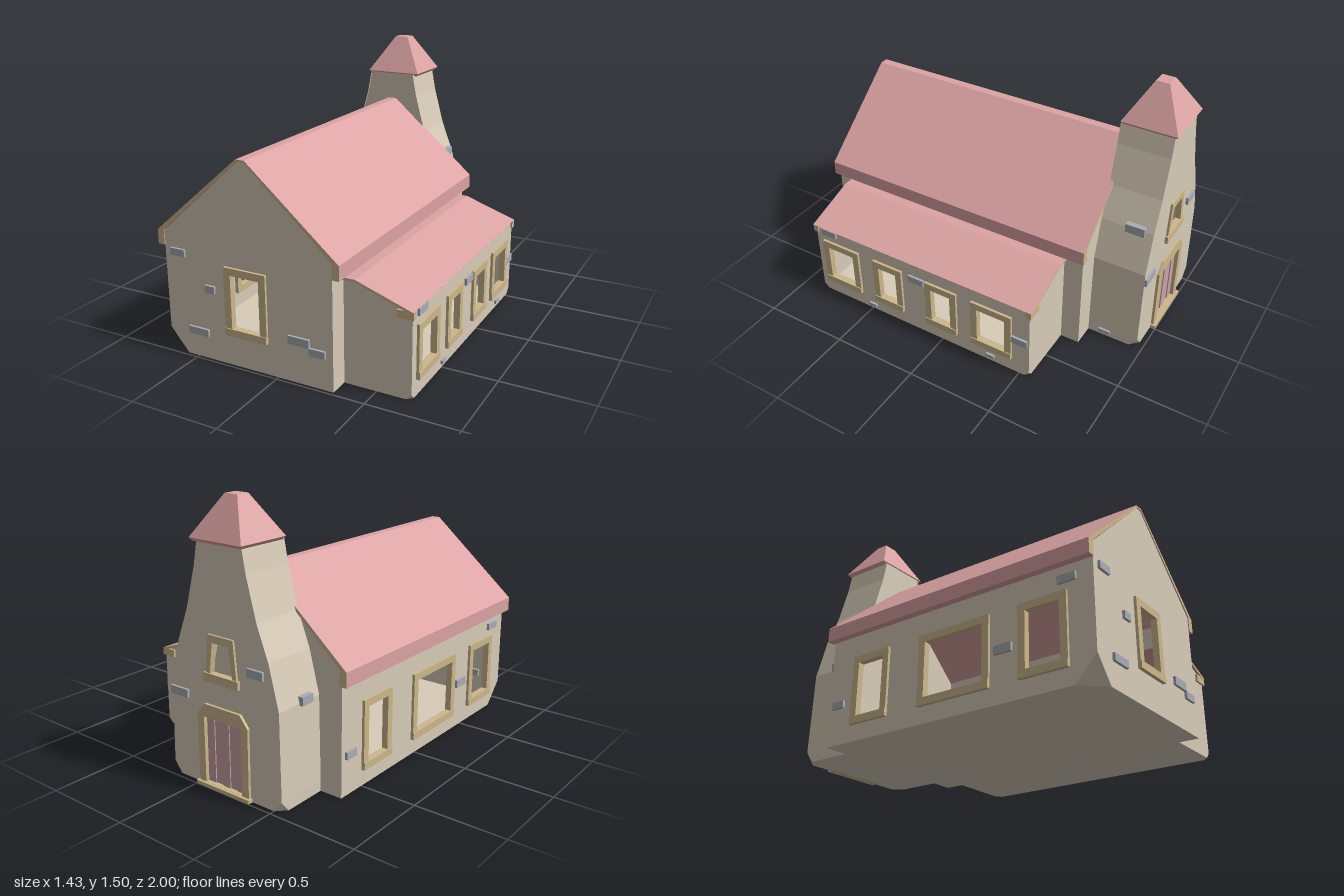
import * as THREE from 'three';

const paint = (color) => new THREE.MeshStandardMaterial({ color, flatShading: true, side: THREE.DoubleSide });
const V = (pts) => pts.map(([x, y]) => new THREE.Vector2(x, y));
const rect = (a, b, c, d) => [[a, c], [b, c], [b, d], [a, d]];

export function createModel() {
  const model = new THREE.Group();
  const wallMat = paint(0xd8ccb8), roofMat = paint(0xdca3a3), trimMat = paint(0xcdb88c);
  const stoneMat = paint(0xa9aeb5), doorMat = paint(0xc9a3a3);

  const add = (parent, name, geo, mat) => {
    const m = new THREE.Mesh(geo, mat);
    m.name = name;
    parent.add(m);
    return m;
  };
  const shapeOf = (pts, holes = []) => {
    const s = new THREE.Shape(V(pts));
    holes.forEach((h) => s.holes.push(new THREE.Path(V(h))));
    return s;
  };
  // A side group: local x runs along the wall, local z points outward
  const side = (name, x, z, turn) => {
    const g = new THREE.Group();
    g.name = name;
    g.position.set(x, 0, z);
    g.rotation.y = turn * Math.PI / 2;
    model.add(g);
    return g;
  };
  const panel = (g, name, pts, holes) => add(g, name, new THREE.ShapeGeometry(shapeOf(pts, holes)), wallMat);
  const box = (g, name, mat, x0, x1, y0, y1, z0, z1) =>
    add(g, name, new THREE.BoxGeometry(x1 - x0, y1 - y0, z1 - z0), mat)
      .position.set((x0 + x1) / 2, (y0 + y1) / 2, (z0 + z1) / 2);
  const extrude = (g, name, shape, z0, z1, mat) => {
    const geo = new THREE.ExtrudeGeometry(shape, { depth: z1 - z0, bevelEnabled: false });
    return add(g, name, geo.translate(0, 0, z0), mat);
  };
  // Rectangular window: frame, sill and the opening it needs in the wall
  const opening = ([a, b, c, d]) => rect(a + 0.04, b - 0.04, c + 0.04, d - 0.04);
  const windowFrame = (g, w) => {
    const [a, b, c, d] = w;
    extrude(g, 'windowFrame', shapeOf(rect(a, b, c, d), [opening(w)]), -0.02, 0.015, trimMat);
    box(g, 'windowSill', trimMat, a, b, c, c + 0.04, -0.02, 0.02);
  };
  // Stones: centre along wall, height, width, thickness, distance off the wall plane
  const stones = (g, list) => list.forEach(([u, v, w, h, off = 0]) =>
    box(g, 'stone', stoneMat, u - w / 2, u + w / 2, v - h / 2, v + h / 2, off - 0.02, off + 0.014));
  const triangle = (a, b, c) => {
    const geo = new THREE.BufferGeometry();
    geo.setAttribute('position', new THREE.Float32BufferAttribute([...a, ...b, ...c], 3));
    geo.computeVertexNormals();
    add(model, 'cutCorner', geo, wallMat);
  };

  // Hall front gable
  const front = side('hallFront', 0, 0.98, 0);
  const frontWin = [-0.305, -0.055, 0.175, 0.55];
  panel(front, 'frontWall', [[-0.57, 0], [0.32, 0], [0.32, 0.68], [-0.16, 1.11], [-0.2, 1.11], [-0.68, 0.68], [-0.68, 0.13]],
    [opening(frontWin)]);
  windowFrame(front, frontWin);
  stones(front, [[-0.595, 0.575, 0.09, 0.04], [-0.4, 0.405, 0.06, 0.04], [-0.485, 0.15, 0.125, 0.04],
    [0.13, 0.235, 0.12, 0.045], [0.235, 0.195, 0.09, 0.04]]);

  // Hall back gable
  const back = side('hallBack', 0, -0.67, 2);
  panel(back, 'backWall', [[-0.32, 0], [0.68, 0], [0.68, 0.68], [0.2, 1.11], [0.16, 1.11], [-0.32, 0.68]]);

  // Hall left wall
  const left = side('hallLeft', -0.68, 0, -1);
  const leftWins = [[-0.5, -0.25, 0.09, 0.47], [-0.04, 0.4, 0.09, 0.47], [0.57, 0.84, 0.09, 0.47]];
  panel(left, 'leftWall', [[-0.67, 0], [0.86, 0], [0.98, 0.13], [0.98, 0.68], [-0.67, 0.68]], leftWins.map(opening));
  leftWins.forEach((w) => windowFrame(left, w));
  stones(left, [[-0.6, 0.22, 0.08, 0.04], [0.48, 0.27, 0.1, 0.045], [0.84, 0.53, 0.1, 0.04]]);

  // Hall right wall, open towards the side aisle
  const right = side('hallRight', 0.32, 0, 1);
  panel(right, 'rightWall', [[-0.98, 0], [-0.87, 0], [-0.87, 0.56], [0.56, 0.56], [0.56, 0], [0.67, 0], [0.67, 0.68], [-0.98, 0.68]]);

  // Side aisle: window wall and two end walls
  const aisle = side('aisleRight', 0.69, 0, 1);
  const aisleWins = [[-0.82, -0.565], [-0.46, -0.26], [-0.1, 0.105], [0.2, 0.455]].map(([a, b]) => [a, b, 0.09, 0.385]);
  panel(aisle, 'aisleWall', [[-0.84, 0], [0.53, 0], [0.56, 0.03], [0.56, 0.47], [-0.87, 0.47], [-0.87, 0.03]], aisleWins.map(opening));
  aisleWins.forEach((w) => windowFrame(aisle, w));
  stones(aisle, [[-0.77, 0.45, 0.1, 0.04], [-0.16, 0.365, 0.1, 0.04], [0.5, 0.24, 0.1, 0.04],
    [-0.49, 0.035, 0.05, 0.02], [0.32, 0.04, 0.05, 0.02]]);
  const aisleEnd = [[0.32, 0], [0.66, 0], [0.69, 0.03], [0.69, 0.47], [0.39, 0.57], [0.32, 0.57]];
  for (const z of [0.87, -0.56]) {
    panel(model, 'aisleEndWall', aisleEnd).position.z = z;
    const s = Math.sign(z);
    box(model, 'eaveBracket', trimMat, 0.61, 0.7, 0.43, 0.472, z - (s > 0 ? 0.02 : 0.012), z + (s > 0 ? 0.012 : 0.02));
  }

  // Floor and cut lower corners
  panel(model, 'floor', [[-0.68, -0.67], [-0.68, 0.86], [-0.57, 0.98], [0.32, 0.98], [0.32, 0.87], [0.66, 0.87], [0.69, 0.84],
    [0.69, -0.53], [0.66, -0.56], [0.32, -0.56], [0.32, -0.67], [0.19, -0.67], [0.19, -0.92], [0.14, -0.97],
    [-0.5, -0.97], [-0.55, -0.92], [-0.55, -0.67]]).rotation.x = Math.PI / 2;
  triangle([-0.68, 0.13, 0.98], [-0.68, 0, 0.86], [-0.57, 0, 0.98]);
  triangle([0.69, 0.03, 0.87], [0.66, 0, 0.87], [0.69, 0, 0.84]);
  triangle([0.69, 0.03, -0.56], [0.69, 0, -0.53], [0.66, 0, -0.56]);
  triangle([0.19, 0.06, -0.97], [0.19, 0, -0.92], [0.14, 0, -0.97]);
  triangle([-0.55, 0.06, -0.97], [-0.5, 0, -0.97], [-0.55, 0, -0.92]);

  // Roofs with trim-coloured ends
  extrude(model, 'hallRoof', shapeOf([[-0.72, 0.6], [-0.68, 0.6], [-0.68, 0.685], [-0.2, 1.112], [-0.16, 1.112], [0.32, 0.685],
    [0.32, 0.6], [0.36, 0.6], [0.36, 0.68], [-0.155, 1.122], [-0.205, 1.122], [-0.72, 0.68]]), -0.69, 0.985, [trimMat, roofMat]);
  extrude(model, 'aisleRoof', shapeOf([[0.32, 0.565], [0.39, 0.565], [0.69, 0.46], [0.7, 0.472], [0.39, 0.578], [0.32, 0.578]]),
    -0.575, 0.885, [trimMat, roofMat]);

  // Tower: half widths by height, about x = -0.18
  const cx = -0.18;
  const profile = [[0.37, 0.06], [0.36, 0.52], [0.3, 0.75], [0.23, 0.93], [0.17, 1.15], [0.145, 1.28]];
  const mirror = (pts) => [...pts, ...pts.map(([x, y]) => [-x, y]).reverse()];
  const tower = side('tower', cx, -0.97, 2);
  const doorHole = rect(-0.125, 0.125, 0.02, 0.38);
  const hatchHole = [[-0.075, 0.62], [0.075, 0.62], [0.055, 0.78], [-0.055, 0.78]];
  panel(tower, 'towerBackWall', mirror([[0.32, 0], ...profile]), [doorHole, hatchHole]);
  panel(tower, 'towerFrontWall', mirror([[0.23, 0.9], ...profile.slice(3)])).position.z = -0.29;
  for (const s of [1, -1]) {
    const pos = [];
    const quad = (a, b, c, d) => pos.push(...a, ...b, ...c, ...a, ...c, ...d);
    for (let i = 0; i < profile.length - 1; i++) {
      const [x0, y0] = profile[i], [x1, y1] = profile[i + 1];
      quad([s * x0, y0, 0], [s * x0, y0, -0.3], [s * x1, y1, -0.3], [s * x1, y1, 0]);
    }
    quad([s * 0.37, 0, -0.05], [s * 0.37, 0, -0.3], [s * 0.37, 0.06, -0.3], [s * 0.37, 0.06, 0]);
    const geo = new THREE.BufferGeometry();
    geo.setAttribute('position', new THREE.Float32BufferAttribute(pos, 3));
    geo.computeVertexNormals();
    add(tower, 'towerSideWall', geo, wallMat);
  }
  // Door with planks, chamfered frame and step
  extrude(tower, 'doorFrame', shapeOf(mirror([[0.17, 0.02], [0.17, 0.39], [0.12, 0.45]]), [rect(-0.125, 0.125, 0.021, 0.38)]),
    -0.02, 0.015, trimMat);
  for (let i = 0; i < 5; i++) {
    const x = -0.125 + i * 0.05;
    box(tower, 'doorPlank', doorMat, x, x + 0.05, 0.02, 0.38, -0.03, i % 2 ? -0.012 : -0.006);
  }
  box(tower, 'doorStep', trimMat, -0.18, 0.18, 0, 0.02, -0.02, 0.03);
  // Tapered hatch window
  extrude(tower, 'hatchFrame', shapeOf([[-0.105, 0.6], [0.105, 0.6], [0.085, 0.82], [-0.085, 0.82]], [hatchHole]), -0.02, 0.012, trimMat);
  box(tower, 'hatchSill', trimMat, -0.115, 0.115, 0.575, 0.62, -0.02, 0.018);
  stones(tower, [[-0.3, 0.47, 0.12, 0.045], [0.22, 0.68, 0.1, 0.045]]);
  // Stones on the tower flanks
  box(model, 'stone', stoneMat, 0.08, 0.14, 0.73, 0.78, -0.925, -0.815);
  box(model, 'stone', stoneMat, 0.17, 0.203, 0.025, 0.045, -0.805, -0.735);
  box(model, 'stone', stoneMat, -0.56, -0.52, 0.51, 0.555, -0.82, -0.74);

  // Tower cap: four-sided, with a narrow underside lip
  const r = Math.SQRT2;
  const cap = new THREE.LatheGeometry(V([[0, 1.27], [0.92 * r, 1.27], [r, 1.287], [0.24 * r, 1.497], [0, 1.497]]), 4, Math.PI / 4);
  const capMesh = add(model, 'towerRoof', cap, roofMat);
  capMesh.scale.set(0.17, 1, 0.157);
  capMesh.position.set(cx + 0.005, 0, -0.835);

  return model;
}
